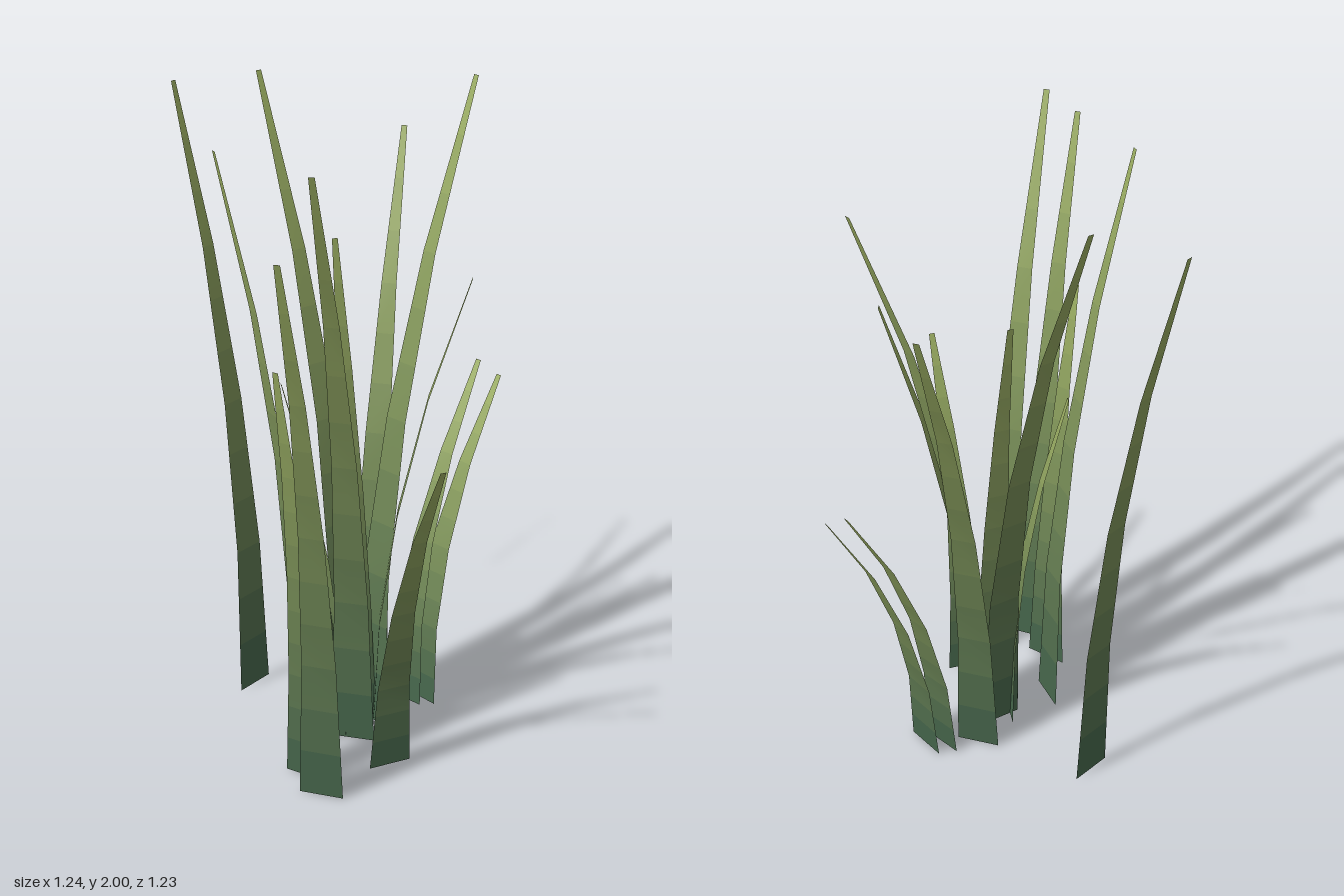
import * as THREE from 'three';

const SEGMENTS = 4;       // bends along each blade
const BANDS = 3;          // colour steps per segment
const ROWS = SEGMENTS * BANDS;
const BASE_WIDTH = 0.135;
const TIP_WIDTH = 0.018;

// base x, base z, tip x, tip y, tip z
const BLADES = [
  [-0.065, -0.332, -0.115, 1.96, -0.612],
  [0.022, 0.035, 0.058, 2.0, -0.422],
  [0.077, 0.07, 0.51, 2.0, 0.033],
  [0.147, -0.017, 0.52, 1.775, -0.288],
  [0.24, 0.052, 0.585, 1.07, 0.0],
  [0.285, 0.077, 0.615, 1.03, 0.062],
  [0.055, 0.115, 0.253, 1.505, 0.305],
  [-0.05, 0.312, -0.137, 1.12, 0.612],
  [-0.318, 0.305, -0.615, 1.8, 0.492],
  [-0.285, 0.193, -0.423, 1.375, 0.24],
  [-0.04, 0.127, -0.42, 1.965, 0.395],
  [-0.173, 0.038, -0.42, 1.94, -0.018],
  [-0.025, 0.05, -0.187, 1.19, -0.028],
  [0.025, 0.07, 0.075, 1.56, -0.095],
];

// dark green at the root, yellow-green at the tip
function bladeMaterials() {
  const root = new THREE.Color(0x3f614a), tip = new THREE.Color(0x9cae62);
  return Array.from({ length: ROWS }, (_, i) => new THREE.MeshStandardMaterial({
    color: root.clone().lerp(tip, (i + 0.5) / ROWS),
    side: THREE.DoubleSide,
  }));
}

// sideways lean grows with the square of height, straight between bends
function leanAt(t) {
  const k = Math.min(Math.floor(t * SEGMENTS + 1e-6), SEGMENTS - 1);
  const a = k / SEGMENTS, b = (k + 1) / SEGMENTS;
  return THREE.MathUtils.lerp(a * a, b * b, (t - a) * SEGMENTS);
}

// flat tapering ribbon, its width square to the direction of lean
function bladeGeometry([bx, bz, tx, ty, tz]) {
  const geometry = new THREE.PlaneGeometry(1, 1, 1, ROWS);
  const pos = geometry.attributes.position;
  const dx = tx - bx, dz = tz - bz, length = Math.hypot(dx, dz);
  for (let i = 0; i < pos.count; i++) {
    const t = pos.getY(i) + 0.5;
    const lean = leanAt(t);
    const side = pos.getX(i) * THREE.MathUtils.lerp(BASE_WIDTH, TIP_WIDTH, t);
    pos.setXYZ(i,
      bx + dx * lean - (dz / length) * side,
      ty * t,
      bz + dz * lean + (dx / length) * side);
  }
  geometry.computeVertexNormals();
  // plane rows run from tip to root
  for (let r = 0; r < ROWS; r++) geometry.addGroup(r * 6, 6, ROWS - 1 - r);
  return geometry;
}

export function createModel() {
  const model = new THREE.Group();
  model.name = 'grassTuft';
  const materials = bladeMaterials();
  BLADES.forEach((blade, i) => {
    const mesh = new THREE.Mesh(bladeGeometry(blade), materials);
    mesh.name = `grassBlade${i + 1}`;
    model.add(mesh);
  });
  return model;
}
